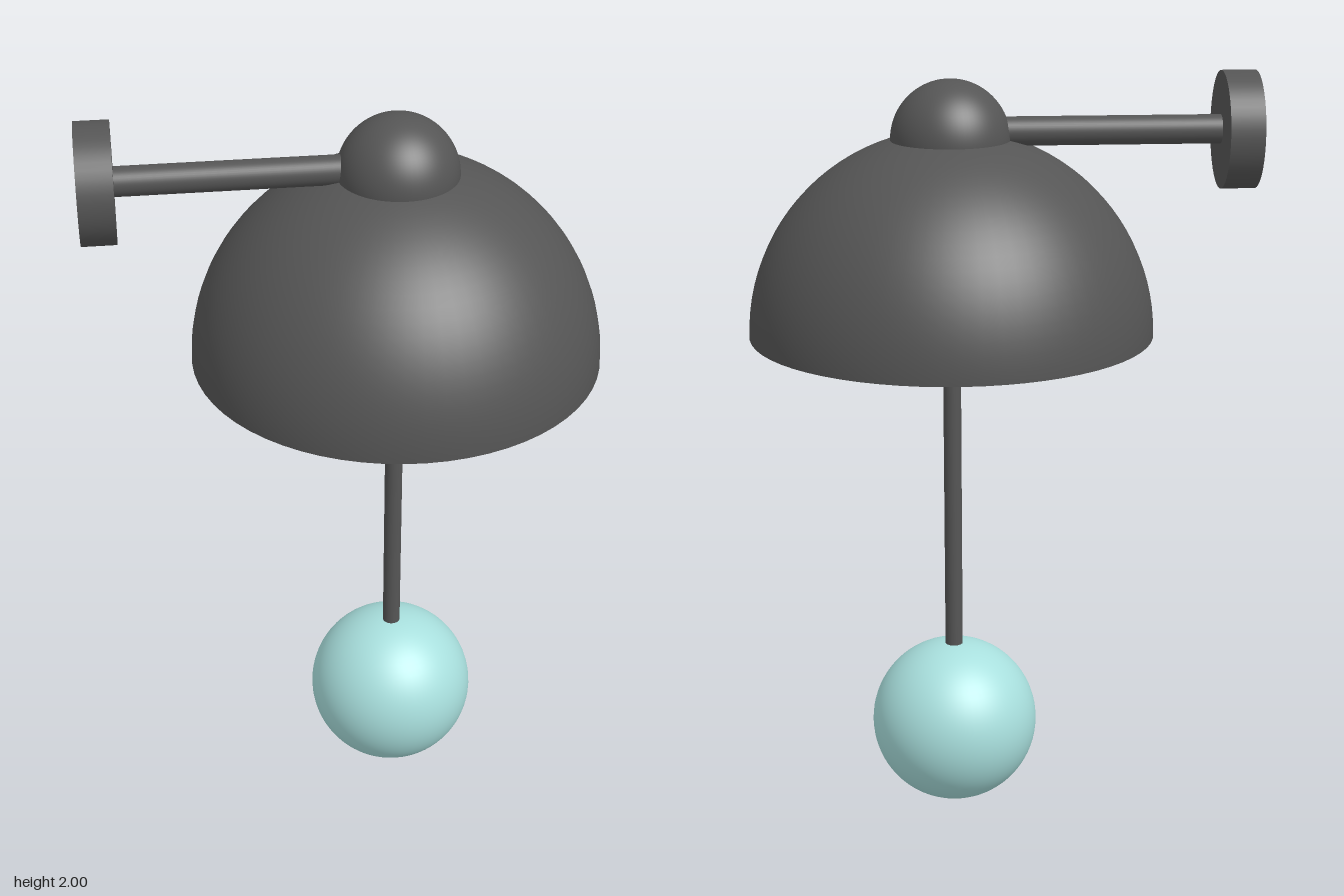
import * as THREE from 'three';

export function createModel() {
  const lamp = new THREE.Group();
  lamp.name = 'wallLamp';
  const dark = new THREE.MeshStandardMaterial({ color: 0x555555 });
  const teal = new THREE.MeshStandardMaterial({ color: 0xa8dfdd });
  const axisX = 0.125; // vertical axis shared by shade, stem and globe

  function add(name, geometry, material, x, y) {
    const mesh = new THREE.Mesh(geometry, material);
    mesh.name = name;
    mesh.position.set(x, y, 0);
    lamp.add(mesh);
    return mesh;
  }

  // Half sphere standing on its flat, closed underside
  function addDome(name, radius, y) {
    add(name, new THREE.SphereGeometry(radius, 64, 24, 0, Math.PI * 2, 0, Math.PI / 2), dark, axisX, y);
    add(name + 'Underside', new THREE.CircleGeometry(radius, 64), dark, axisX, y).rotation.x = Math.PI / 2;
  }

  // Solid round bar lying along x
  function addBar(name, radius, x0, x1, y) {
    const bar = add(name, new THREE.CylinderGeometry(radius, radius, x1 - x0, 48), dark, (x0 + x1) / 2, y);
    bar.rotation.z = Math.PI / 2;
  }

  // Shade and the small cap on its crown
  addDome('shade', 0.525, 1.33);
  addDome('cap', 0.153, 1.832);

  // Wall plate and arm
  addBar('wallPlate', 0.15, -0.655, -0.567, 1.85);
  addBar('arm', 0.037, -0.58, 0.1, 1.852);

  // Stem and hanging globe
  add('stem', new THREE.CylinderGeometry(0.0235, 0.0235, 1.0, 32), dark, axisX, 0.9);
  add('globe', new THREE.SphereGeometry(0.225, 64, 40), teal, axisX, 0.227);

  return lamp;
}
